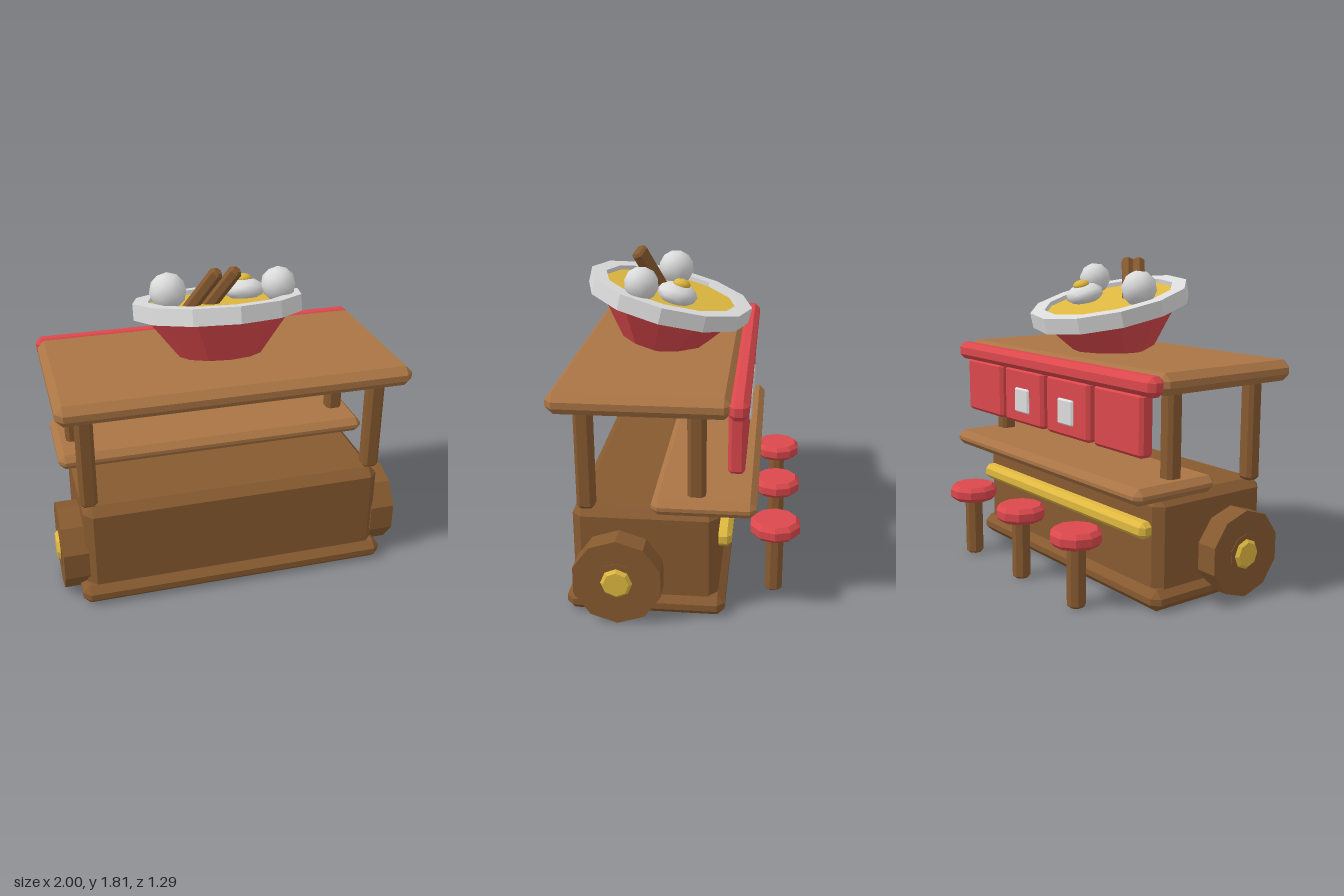
import * as THREE from 'three';
import { ConvexGeometry } from 'three/addons/geometries/ConvexGeometry.js';

const mat = (name, color) => {
  const m = new THREE.MeshStandardMaterial({ color });
  m.name = name;
  return m;
};

export function createModel() {
  const darkWood = mat('dark wood', 0x875a30);
  const lightWood = mat('light wood', 0xab7545);
  const red = mat('red', 0xdb484c);
  const white = mat('white', 0xdcdcdc);
  const yellow = mat('yellow', 0xdfb840);

  const model = new THREE.Group();
  model.name = 'noodleStall';

  const add = (name, geo, material, x = 0, y = 0, z = 0, parent = model) => {
    const mesh = new THREE.Mesh(geo, material);
    mesh.name = name;
    mesh.position.set(x, y, z);
    parent.add(mesh);
    return mesh;
  };

  // Box with flat chamfers on every edge, given by its extents
  const block = (name, material, [x0, x1], [y0, y1], [z0, z1], c) => {
    const h = [(x1 - x0) / 2, (y1 - y0) / 2, (z1 - z0) / 2];
    const pts = [];
    for (const sx of [-1, 1]) for (const sy of [-1, 1]) for (const sz of [-1, 1])
      for (let a = 0; a < 3; a++) {
        const d = [0, 1, 2].map((i) => (i === a ? h[i] : h[i] - c));
        pts.push(new THREE.Vector3(sx * d[0], sy * d[1], sz * d[2]));
      }
    return add(name, new ConvexGeometry(pts), material, (x0 + x1) / 2, (y0 + y1) / 2, (z0 + z1) / 2);
  };

  // Faceted turned shape from [radius, height] pairs, bottom to top
  const turned = (profile, sides) => {
    const pts = profile.map(([r, y]) => new THREE.Vector2(r, y));
    const geo = new THREE.LatheGeometry(pts, sides).toNonIndexed();
    geo.computeVertexNormals();
    return geo;
  };
  const disc = (r, y0, y1, c, sides) =>
    turned([[0, y0], [r - c, y0], [r, y0 + c], [r, y1 - c], [r - c, y1], [0, y1]], sides);

  // Cart body, counter and roof
  block('base', darkWood, [-0.89, 0.89], [0, 0.115], [-0.25, 0.605], 0.04);
  block('body', darkWood, [-0.855, 0.855], [0.05, 0.605], [-0.21, 0.565], 0.048);
  block('counter', lightWood, [-0.93, 0.93], [0.61, 0.7], [-0.41, 0.135], 0.035);
  block('roof', lightWood, [-0.97, 0.97], [1.16, 1.275], [-0.28, 0.65], 0.04);
  block('footRail', yellow, [-0.81, 0.81], [0.385, 0.475], [-0.28, -0.19], 0.025);
  for (const x of [-0.817, 0.817])
    for (const z of [-0.097, 0.485])
      block('post', darkWood, [x - 0.047, x + 0.047], [0.6, 1.18], [z - 0.047, z + 0.047], 0.02);

  // Hanging curtain with tags on the middle panels
  block('curtainBar', red, [-0.97, 0.97], [1.16, 1.265], [-0.362, -0.26], 0.03);
  for (const x of [-0.67, -0.223, 0.223, 0.67]) {
    block('curtainPanel', red, [x - 0.203, x + 0.203], [0.84, 1.17], [-0.344, -0.257], 0.018);
    if (Math.abs(x) < 0.5)
      block('curtainTag', white, [x - 0.073, x + 0.073], [0.91, 1.056], [-0.357, -0.245], 0.009);
  }

  // Wheels and hubs
  for (const s of [-1, 1]) {
    const wheel = new THREE.Group();
    wheel.name = s > 0 ? 'leftWheel' : 'rightWheel';
    wheel.position.set(0, 0.2435, 0.31);
    const part = (name, geo, m) =>
      add(name, geo.rotateY(Math.PI / 2).rotateZ(-s * Math.PI / 2), m, 0, 0, 0, wheel);
    part('wheelDisc', disc(0.2435, 0.84, 0.98, 0, 10), darkWood);
    part('wheelBoss', disc(0.115, 0.9, 0.983, 0, 10), darkWood);
    part('hubCap', disc(0.085, 0.9, 1.0, 0.017, 8), yellow);
    model.add(wheel);
  }

  // Stools
  for (const x of [-0.545, 0, 0.545]) {
    add('stoolLeg', disc(0.052, 0, 0.36, 0.012, 8).rotateY(Math.PI / 8), darkWood, x, 0, -0.507);
    add('stoolSeat', disc(0.142, 0.345, 0.435, 0.024, 10).rotateY(Math.PI / 2), red, x, 0, -0.507);
  }

  // Tilted bowl; its origin is the centre of the rim's top
  const bowl = new THREE.Group();
  bowl.name = 'bowl';
  bowl.position.set(0, 1.589, 0.12);
  bowl.rotation.x = -0.238;
  model.add(bowl);
  add('bowlSide', turned([[0, -0.316], [0.23, -0.316], [0.405, -0.085]], 12), red, 0, 0, 0, bowl);
  add('bowlRim', turned([[0.38, -0.09], [0.47, -0.09], [0.47, 0], [0.385, 0], [0.38, -0.09]], 12),
    white, 0, 0, 0, bowl);
  add('soup', disc(0.382, -0.08, -0.025, 0, 12), yellow, 0, 0, 0, bowl);

  // Toppings
  const ball = (name, r, m, x, y, z) =>
    add(name, new THREE.IcosahedronGeometry(r, 1), m, x, y, z, bowl);
  ball('dumpling', 0.103, white, -0.275, 0.053, 0.018);
  ball('dumpling', 0.095, white, 0.308, 0.056, 0.147);
  ball('egg', 0.114, white, 0.172, 0.018, -0.046).scale.y = 0.55;
  ball('yolk', 0.05, yellow, 0.172, 0.076, -0.058).scale.y = 0.6;

  // Sticks leaning out of the soup
  const lean = new THREE.Vector3(0.57, 1, 0.43).normalize();
  for (const x of [-0.05, 0.053]) {
    const stick = add('stick', disc(0.038, -0.3, 0.012, 0.014, 6), darkWood, x, 1.79, 0.303);
    stick.quaternion.setFromUnitVectors(new THREE.Vector3(0, 1, 0), lean);
  }

  return model;
}
